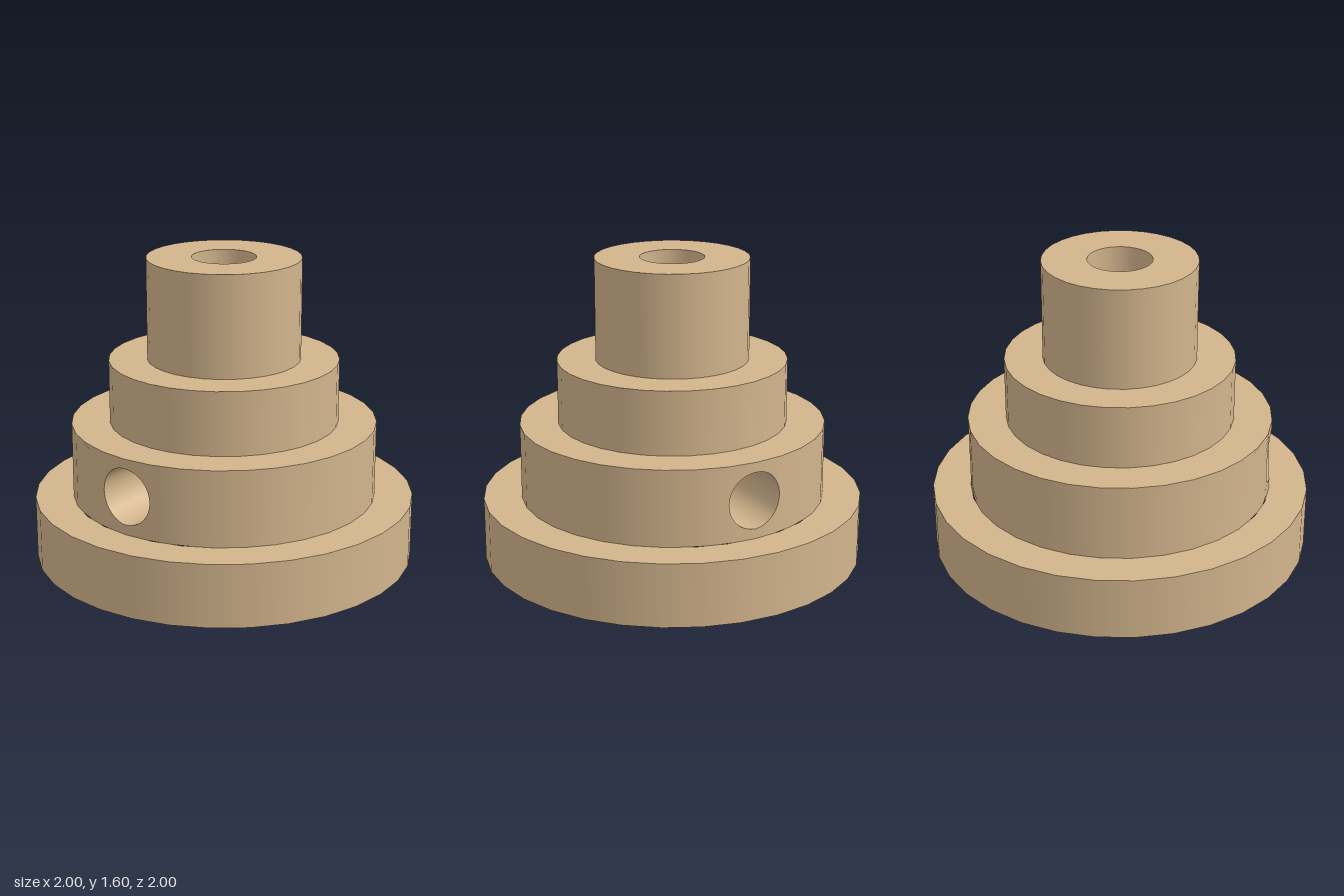
import * as THREE from 'three';
import { mergeGeometries } from 'three/addons/utils/BufferGeometryUtils.js';
import { ParametricGeometry } from 'three/addons/geometries/ParametricGeometry.js';

const SIDES = 32, STEP = (2 * Math.PI) / SIDES;
const HALF = 3 * STEP;                          // half angle of the wall patch holding a cross hole
const Y = [0, 0.333, 0.733, 1.067, 1.6];        // step heights
const R = [1, 0.8, 0.6, 0.4];                   // step radii
const BORE = 0.167, SOCKET = 0.333, SOCKET_TOP = Y[2];
const HOLE = { r: 0.148, y: 0.533, half: 0.2 };

// Surface of revolution for one straight profile edge; the profile runs counter-clockwise.
const edge = (r0, y0, r1, y1, start = 0, sides = SIDES) => new THREE.LatheGeometry(
  [new THREE.Vector2(r0, y0), new THREE.Vector2(r1, y1)], sides, start, sides * STEP);

// Radius of the faceted cylinder at an angle.
function facetRadius(radius, angle) {
  const a = ((angle % STEP) + STEP) % STEP;
  return radius * Math.cos(STEP / 2) / Math.cos(a - STEP / 2);
}

// Wall patch around the cross hole, running from the round hole out to a rectangle.
function holePatch(radius, inward) {
  const geo = new ParametricGeometry((u, v, p) => {
    const t = (inward ? -u : u) * 2 * Math.PI, c = Math.cos(t), s = Math.sin(t);
    const m = Math.max(Math.abs(c), Math.abs(s));
    const angle = THREE.MathUtils.lerp(Math.asin(HOLE.r * c / radius), HALF * c / m, v);
    const y = HOLE.y + THREE.MathUtils.lerp(HOLE.r * s, HOLE.half * s / m, v);
    const r = facetRadius(radius, angle);
    p.set(r * Math.cos(angle), y, r * Math.sin(angle));
  }, 48, 6);
  const pos = geo.attributes.position, sign = inward ? -1 : 1;
  for (let i = 0; i < pos.count; i++) {
    const n = new THREE.Vector3(pos.getX(i), 0, pos.getZ(i)).normalize().multiplyScalar(sign);
    geo.attributes.normal.setXYZ(i, n.x, n.y, n.z);
  }
  return geo;
}

// Full cylinder wall with a cross hole on both x sides.
function piercedWall(radius, inward) {
  const [a, b] = inward ? [Y[2], Y[1]] : [Y[1], Y[2]];
  const parts = [];
  for (const turn of [0, Math.PI]) {
    parts.push(holePatch(radius, inward).rotateY(turn));
    parts.push(edge(radius, a, radius, b, Math.PI / 2 + HALF + turn, SIDES / 2 - 6));
  }
  return parts;
}

// Tunnel from the socket to the outside.
const tunnel = () => new ParametricGeometry((u, v, p) => {
  const t = u * 2 * Math.PI, z = HOLE.r * Math.cos(t);
  const xAt = (radius) => {
    const angle = Math.asin(z / radius);
    return facetRadius(radius, angle) * Math.cos(angle);
  };
  p.set(THREE.MathUtils.lerp(xAt(SOCKET), xAt(R[1]), v), HOLE.y + HOLE.r * Math.sin(t), z);
}, 48, 1);

export function createModel() {
  const group = new THREE.Group();
  group.name = 'steppedHub';
  const material = new THREE.MeshStandardMaterial({ color: 0xd2b48c });
  const add = (name, parts) => {
    const mesh = new THREE.Mesh(mergeGeometries(parts.map((g) => g.toNonIndexed())), material);
    mesh.name = name;
    group.add(mesh);
  };

  // Steps: outer wall plus the ledge up to the next step
  ['baseFlange', 'piercedStep', 'upperStep', 'neck'].forEach((name, i) => {
    const wall = i === 1 ? piercedWall(R[1], false) : [edge(R[i], Y[i], R[i], Y[i + 1])];
    add(name, [...wall, edge(R[i], Y[i + 1], R[i + 1] ?? BORE, Y[i + 1])]);
  });

  // Underside and the wide socket below
  add('underside', [edge(SOCKET, 0, R[0], 0)]);
  add('socket', [
    edge(SOCKET, Y[1], SOCKET, 0),
    ...piercedWall(SOCKET, true),
    edge(BORE, SOCKET_TOP, SOCKET, SOCKET_TOP),
  ]);

  // Narrow bore through the neck
  add('bore', [edge(BORE, Y[4], BORE, SOCKET_TOP)]);

  // Cross hole on both sides
  add('crossHole', [tunnel(), tunnel().rotateY(Math.PI)]);
  return group;
}
